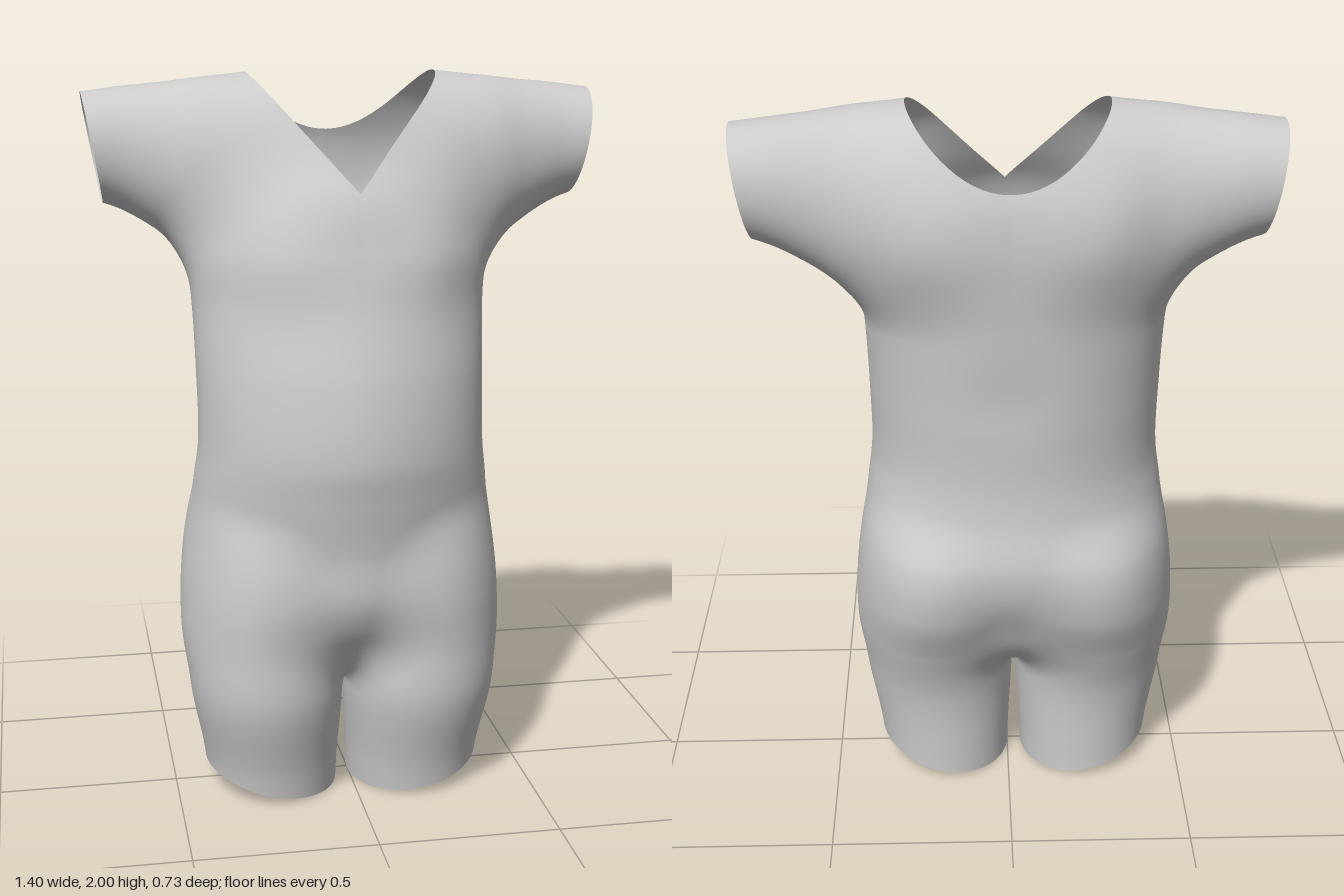
import * as THREE from 'three';

// Cross-section tables; each row is [position along the limb, ...section values].
const sections = rows => new THREE.CubicInterpolant(
  new Float32Array(rows.map(r => r[0])),
  new Float32Array(rows.flatMap(r => r.slice(1))),
  rows[0].length - 1,
  new Float32Array(rows[0].length - 1));

const MID = -0.02; // centre line of trunk and legs

// y: half width, back z, front z
const trunk = sections([
  [0.30, 0.38, -0.15, 0.19], [0.45, 0.41, -0.24, 0.26], [0.60, 0.428, -0.315, 0.315],
  [0.75, 0.424, -0.345, 0.325], [0.90, 0.41, -0.318, 0.35], [1.00, 0.397, -0.31, 0.365],
  [1.20, 0.397, -0.32, 0.345], [1.40, 0.403, -0.333, 0.292], [1.55, 0.415, -0.343, 0.258],
  [1.70, 0.38, -0.345, 0.212], [1.80, 0.34, -0.33, 0.14], [1.90, 0.25, -0.28, 0.05]]);

// y: inner x, outer x, back z, front z
const leg = sections([
  [-0.10, 0.022, 0.385, -0.20, 0.20], [0.08, 0.016, 0.394, -0.20, 0.23],
  [0.30, 0.004, 0.433, -0.22, 0.29], [0.45, 0.003, 0.443, -0.27, 0.295],
  [0.60, 0.003, 0.433, -0.33, 0.30], [0.75, 0.015, 0.405, -0.33, 0.27],
  [0.90, 0.04, 0.35, -0.24, 0.17]]);

// |x|: bottom y, top y, back z, front z
const sleeve = sections([
  [0.00, 1.40, 2.03, -0.325, 0.125], [0.15, 1.42, 2.02, -0.335, 0.12],
  [0.26, 1.45, 2.00, -0.328, 0.115], [0.40, 1.50, 1.985, -0.285, 0.08],
  [0.50, 1.575, 1.973, -0.27, 0.04], [0.60, 1.635, 1.963, -0.265, 0.015],
  [0.70, 1.67, 1.95, -0.262, 0.01]]);

// Gentle swellings and hollows: x, y, z, radius, height
const swellings = [
  [0.20, 1.54, 0.24, 0.13, 0.016],   // chest
  [0.20, 1.68, -0.34, 0.13, 0.012],  // shoulder blades
  [0, 1.25, -0.33, 0.10, -0.006],    // small of the back
  [0, 0.54, -0.31, 0.09, -0.012],    // between the buttocks
  [0, 0.46, 0.27, 0.09, -0.014]];    // groin

const smoothMin = (a, b, k) => {
  const h = Math.max(k - Math.abs(a - b), 0) / k;
  return Math.min(a, b) - h * h * k / 4;
};
const smoothMax = (a, b, k) => -smoothMin(-a, -b, k);

// Rough distance to an oval spanning u0..u1 and v0..v1
function oval(u, u0, u1, v, v0, v1, n) {
  const hu = (u1 - u0) / 2, hv = (v1 - v0) / 2;
  const a = Math.abs(u - (u0 + u1) / 2) / hu, b = Math.abs(v - (v0 + v1) / 2) / hv;
  return ((a ** n + b ** n) ** (1 / n) - 1) * Math.min(hu, hv);
}

// Skin field: negative inside the body
function field(x, y, z) {
  const dx = x - MID;
  // Trunk: broad flat back, rounder front
  const [w, tb, tf] = trunk.evaluate(y);
  let t = oval(dx, -w, w, z, tb, tf, z > (tb + tf) / 2 ? 1.9 : 2.2);
  t = smoothMax(smoothMax(t, 0.36 - y, 0.16), y - 1.92, 0.1);

  const [li, lo, lb, lf] = leg.evaluate(y);
  let l = smoothMin(oval(dx, li, lo, z, lb, lf, 2.05), oval(-dx, li, lo, z, lb, lf, 2.05), 0.008);
  l = smoothMax(l, y - 0.9, 0.15);

  const [s0, s1, sb, sf] = sleeve.evaluate(Math.abs(x));
  const s = oval(y, s0, s1, z, sb, sf, 2.05);

  let f = smoothMin(smoothMin(t, l, 0.07), s, 0.07);
  for (const [bx, by, bz, r, h] of swellings) {
    const d = (Math.abs(x) - bx) ** 2 + (y - by) ** 2 + (z - bz) ** 2;
    f -= h * Math.exp(-d / (r * r));
  }
  return f;
}

function gradient(p) {
  const e = 0.004;
  return new THREE.Vector3(
    field(p.x + e, p.y, p.z) - field(p.x - e, p.y, p.z),
    field(p.x, p.y + e, p.z) - field(p.x, p.y - e, p.z),
    field(p.x, p.y, p.z + e) - field(p.x, p.y, p.z - e)).divideScalar(2 * e);
}

// Openings: the skin is kept where each rule is positive
const openings = [
  p => p.y - 0.47 * (p.x - MID) ** 2,                                      // leg hems
  p => 0.70 - 0.17 * Math.min(1.95 - p.y, 0.5) - Math.abs(p.x),            // sleeve ends
  p => (p.z > -0.12 ? 1.70 + 1.154 * Math.abs(p.x) : 1.825 + 2.6 * p.x * p.x) - p.y // neckline
];

// Trim a polygon of {p, n} corners to the positive side of a rule
function trim(poly, rule) {
  const out = [];
  poly.forEach((a, i) => {
    const b = poly[(i + 1) % poly.length], da = rule(a.p), db = rule(b.p);
    if (da >= 0) out.push(a);
    if ((da >= 0) !== (db >= 0)) {
      const t = da / (da - db);
      out.push({ p: a.p.clone().lerp(b.p, t), n: a.n.clone().lerp(b.n, t).normalize() });
    }
  });
  return out;
}

// Wrap a net of quads around the field, then cut the openings
function skinGeometry() {
  const H = 0.02, N = [76, 110, 42], O = [MID - 38 * H, -0.08, -0.42];
  const step = [1, N[0], N[0] * N[1]];
  const values = new Float32Array(N[0] * N[1] * N[2]);
  const at = (i, j, k) => i + j * step[1] + k * step[2];
  const each = (from, fn) => {
    for (let k = from; k < N[2] - 1; k++)
      for (let j = from; j < N[1] - 1; j++)
        for (let i = from; i < N[0] - 1; i++) fn(i, j, k, at(i, j, k));
  };
  for (let k = 0; k < N[2]; k++)
    for (let j = 0; j < N[1]; j++)
      for (let i = 0; i < N[0]; i++)
        values[at(i, j, k)] = field(O[0] + i * H, O[1] + j * H, O[2] + k * H);

  // One corner per crossed cell, pulled onto the skin
  const corners = new Map();
  each(0, (i, j, k, id) => {
    const p = new THREE.Vector3();
    let count = 0;
    for (let c = 0; c < 8; c++) for (let axis = 0; axis < 3; axis++) {
      if (c >> axis & 1) continue;
      const o = [c & 1, c >> 1 & 1, c >> 2 & 1];
      const q = id + o[0] + o[1] * step[1] + o[2] * step[2];
      const a = values[q], b = values[q + step[axis]];
      if ((a < 0) === (b < 0)) continue;
      o[axis] = a / (a - b);
      p.add(new THREE.Vector3(...o));
      count++;
    }
    if (!count) return;
    p.divideScalar(count).add(new THREE.Vector3(i, j, k)).multiplyScalar(H).add(new THREE.Vector3(...O));
    for (let pass = 0; pass < 2; pass++) {
      const g = gradient(p);
      const move = -field(p.x, p.y, p.z) / Math.max(g.lengthSq(), 0.2);
      p.addScaledVector(g, THREE.MathUtils.clamp(move, -H / 2, H / 2));
    }
    corners.set(id, { p, n: gradient(p).normalize() });
  });

  // One quad per crossed grid edge, split at x = 0 so the neckline keeps its point
  const position = [], normal = [];
  each(1, (i, j, k, id) => {
    for (let axis = 0; axis < 3; axis++) {
      const inside = values[id] < 0;
      if (inside === (values[id + step[axis]] < 0)) continue;
      const u = step[(axis + 1) % 3], v = step[(axis + 2) % 3];
      const quad = [id - u - v, id - v, id, id - u].map(c => corners.get(c));
      if (!inside) quad.reverse();
      for (const side of [-1, 1]) {
        let poly = trim(quad, p => side * p.x);
        for (const rule of openings) poly = trim(poly, rule);
        for (let t = 1; t < poly.length - 1; t++)
          for (const c of [poly[0], poly[t], poly[t + 1]]) {
            position.push(c.p.x, c.p.y, c.p.z);
            normal.push(c.n.x, c.n.y, c.n.z);
          }
      }
    }
  });
  const geometry = new THREE.BufferGeometry();
  geometry.setAttribute('position', new THREE.Float32BufferAttribute(position, 3));
  geometry.setAttribute('normal', new THREE.Float32BufferAttribute(normal, 3));
  return geometry;
}

export function createModel() {
  const group = new THREE.Group();
  group.name = 'torso';
  const material = new THREE.MeshStandardMaterial({ color: 0xcccccc, side: THREE.DoubleSide });
  const skin = new THREE.Mesh(skinGeometry(), material);
  skin.name = 'bodyShell';
  group.add(skin);
  return group;
}
